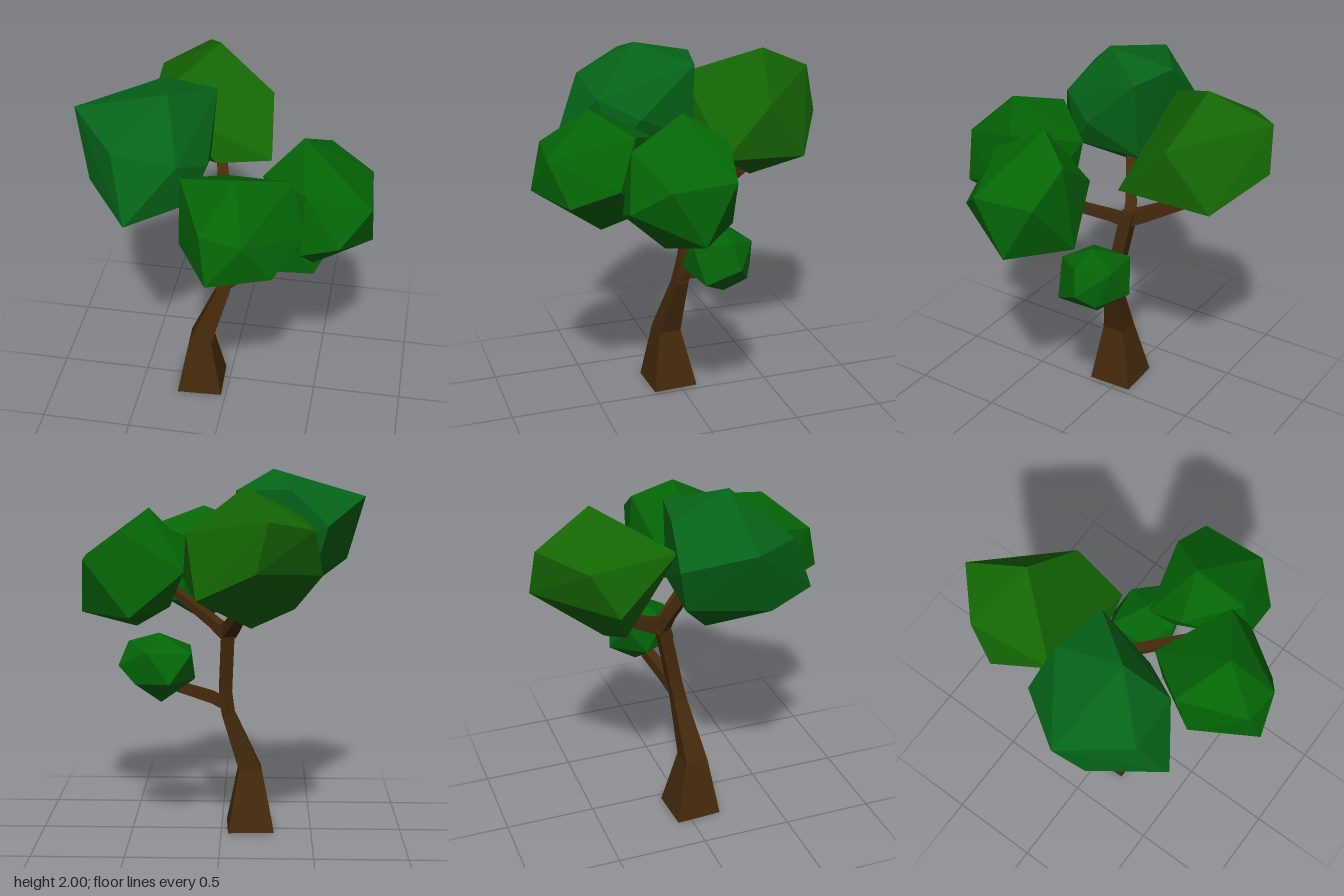
import * as THREE from 'three';
import { ConvexGeometry } from 'three/addons/geometries/ConvexGeometry.js';

const V = (p) => new THREE.Vector3(p[0], p[1], p[2]);
const material = (color) => new THREE.MeshStandardMaterial({ color, flatShading: true });

// Square tapering limb through sections [x, y, z, half width]; level keeps sections horizontal
function limbGeometry(sections, level) {
  const pts = sections.map(V);
  const ref = level ? new THREE.Vector3(0.05, 0, 1) : new THREE.Vector3(0, 1, 0);
  const rings = pts.map((p, i) => {
    const t = level
      ? new THREE.Vector3(0, 1, 0)
      : pts[Math.min(i + 1, pts.length - 1)].clone().sub(pts[Math.max(i - 1, 0)]).normalize();
    const u = ref.clone().addScaledVector(t, -ref.dot(t)).normalize();
    const v = t.clone().cross(u);
    const r = sections[i][3];
    return [[1, -1], [1, 1], [-1, 1], [-1, -1]].map(([a, b]) =>
      p.clone().addScaledVector(u, a * r).addScaledVector(v, b * r));
  });
  const out = [];
  for (let i = 0; i < rings.length - 1; i++) {
    for (let k = 0; k < 4; k++) {
      const n = (k + 1) % 4, a = rings[i], b = rings[i + 1];
      out.push(a[k], a[n], b[n], a[k], b[n], b[k]);
    }
  }
  const [f, l] = [rings[0], rings[rings.length - 1]];
  out.push(f[0], f[2], f[1], f[0], f[3], f[2], l[0], l[1], l[2], l[0], l[2], l[3]);
  const g = new THREE.BufferGeometry().setFromPoints(out);
  g.computeVertexNormals();
  return g;
}

export function createModel() {
  const tree = new THREE.Group();
  tree.name = 'tree';
  const add = (name, geometry, mat) => {
    const mesh = new THREE.Mesh(geometry, mat);
    mesh.name = name;
    tree.add(mesh);
  };

  // Bent trunk, thick at the foot
  const bark = material(0x452a0c);
  add('trunk', limbGeometry([
    [-0.16, 0, 0.04, 0.128], [-0.158, 0.34, 0.052, 0.064], [-0.036, 0.67, 0.01, 0.038],
    [-0.022, 0.8, -0.014, 0.036], [-0.035, 1.1, -0.075, 0.036], [-0.04, 1.19, -0.095, 0.04],
  ], true), bark);

  // Branches reaching into the foliage
  const branches = {
    lowBranch: [[-0.02, 0.72, 0, 0.034], [0.05, 0.763, -0.026, 0.032], [0.3, 0.86, -0.1, 0.026]],
    backBranch: [[-0.04, 1.14, -0.08, 0.038], [-0.06, 1.18, -0.17, 0.035], [-0.13, 1.33, -0.46, 0.025]],
    rightBranch: [[-0.04, 1.12, -0.09, 0.033], [-0.09, 1.22, -0.07, 0.03], [-0.21, 1.44, 0.01, 0.025]],
    leftBranch: [[-0.03, 1.13, -0.08, 0.033], [0.04, 1.18, -0.02, 0.027], [0.3, 1.33, 0.28, 0.02]],
  };
  for (const [name, path] of Object.entries(branches)) add(name, limbGeometry(path, false), bark);

  // Faceted foliage: each clump is the hull of a few irregular corner points
  const leaf = (name, color, pts) => add(name, new ConvexGeometry(pts.map(V)), material(color));

  leaf('rightFoliage', 0x056518, [
    [-0.28, 2, 0.19], [-0.785, 1.855, 0.14], [-0.08, 1.9, -0.09], [-0.37, 1.91, -0.15],
    [-0.57, 1.72, -0.175], [-0.525, 1.79, 0.45], [-0.2, 1.72, 0.42], [-0.44, 1.455, 0.595],
    [-0.15, 1.455, 0.33], [-0.08, 1.62, 0.21], [-0.695, 1.5, 0.26], [-0.385, 1.3, 0.03],
    [-0.12, 1.48, -0.09], [-0.5, 1.47, -0.12],
  ]);
  leaf('backFoliage', 0x146504, [
    [-0.135, 1.95, -0.5], [-0.25, 1.8, -0.815], [-0.48, 1.74, -0.605], [-0.44, 1.765, -0.14],
    [0.17, 1.71, -0.43], [0.2, 1.44, -0.17], [-0.09, 1.43, -0.11], [0.11, 1.39, -0.66],
    [-0.19, 1.55, -0.84], [-0.53, 1.5, -0.47], [-0.165, 1.22, -0.45], [-0.39, 1.315, -0.4],
  ]);
  leaf('frontFoliage', 0x046506, [
    [0.12, 1.77, 0.55], [0.19, 1.54, 0.79], [-0.02, 1.58, 0.78], [0.02, 1.33, 0.845],
    [0.11, 1.1, 0.495], [-0.18, 1.67, 0.43], [-0.175, 1.34, 0.52], [0.385, 1.68, 0.38],
    [0.455, 1.425, 0.48], [0.33, 1.315, 0.71], [0.01, 1.55, 0.175], [0.3, 1.25, 0.3], [0, 1.28, 0.24],
  ]);
  leaf('leftFoliage', 0x046506, [
    [0.405, 1.79, 0.14], [0.78, 1.51, 0.315], [0.755, 1.52, -0.03], [0.785, 1.21, 0.14],
    [0.635, 1.37, 0.485], [0.45, 1.63, 0.42], [0.53, 1.67, -0.06], [0.5, 1.21, -0.1],
    [0.49, 1.11, 0.26], [0.205, 1.45, 0], [0.205, 1.58, 0.2], [0.29, 1.245, 0.1], [0.44, 1.3, 0.47],
  ]);
  leaf('lowFoliage', 0x046508, [
    [0.335, 1.135, -0.1], [0.5, 1.09, -0.1], [0.555, 0.96, -0.135], [0.47, 0.86, 0.03],
    [0.325, 0.755, -0.12], [0.14, 0.885, -0.11], [0.155, 1.04, -0.22], [0.27, 0.885, -0.29],
    [0.39, 1.05, -0.25], [0.25, 0.89, 0.09], [0.17, 1.05, 0], [0.37, 1.05, 0.07], [0.46, 0.87, -0.2],
  ]);

  return tree;
}
